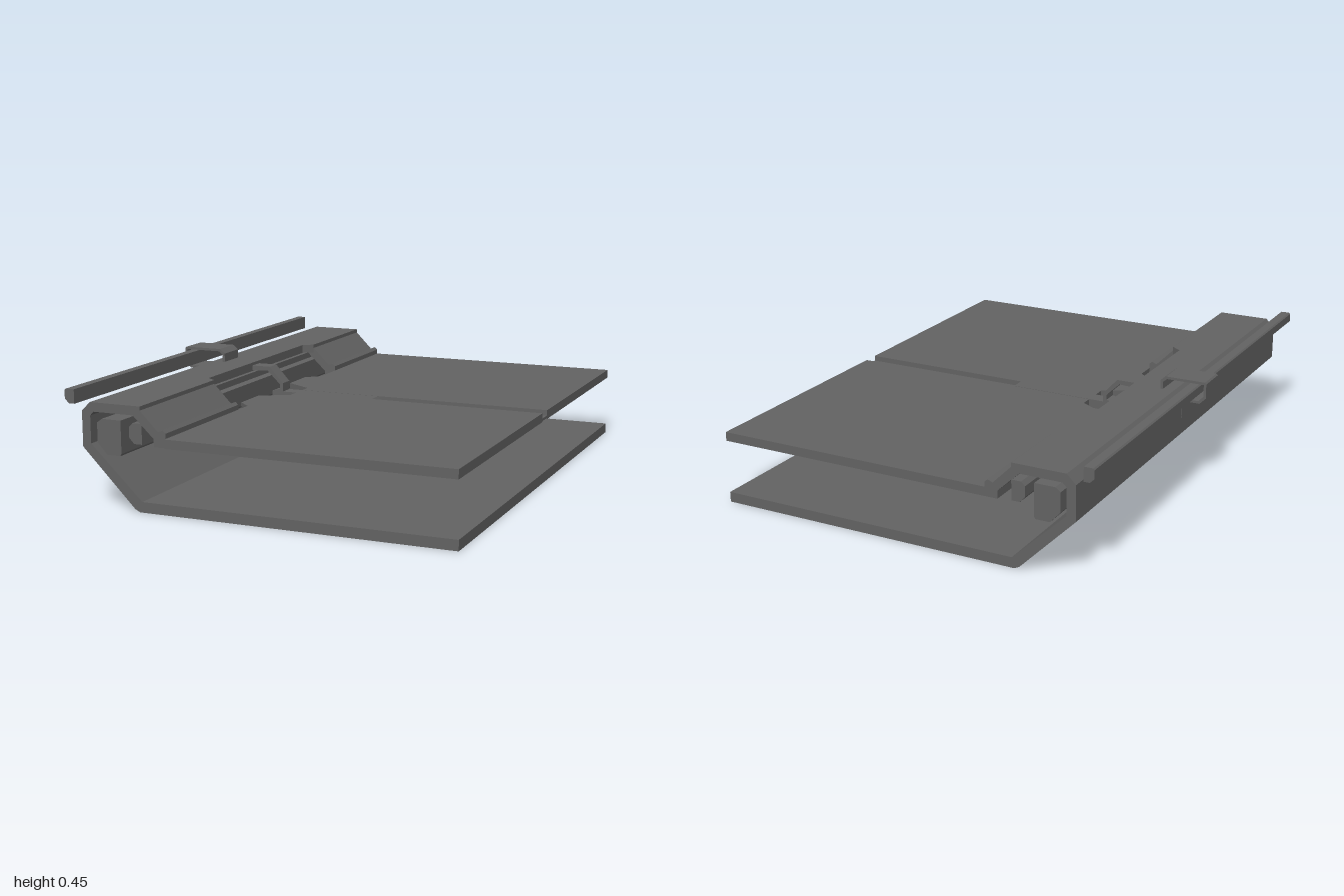
import * as THREE from 'three';

const material = new THREE.MeshStandardMaterial({ color: 0x626262, flatShading: true });

const toShape = (points) => new THREE.Shape(points.map(([a, b]) => new THREE.Vector2(a, b)));

// Extrude an xy cross-section from z0 to z1
function bar(name, points, z0, z1) {
  const geometry = new THREE.ExtrudeGeometry(toShape(points), { depth: z1 - z0, bevelEnabled: false });
  geometry.translate(0, 0, z0);
  const mesh = new THREE.Mesh(geometry, material);
  mesh.name = name;
  return mesh;
}

// Extrude an xz outline from y0 to y1
function plate(name, points, y0, y1) {
  const shape = toShape(points.map(([x, z]) => [x, -z]));
  const geometry = new THREE.ExtrudeGeometry(shape, { depth: y1 - y0, bevelEnabled: false });
  geometry.rotateX(-Math.PI / 2).translate(0, y0, 0);
  const mesh = new THREE.Mesh(geometry, material);
  mesh.name = name;
  return mesh;
}

// Half of the upper panel, shaped around the latch; side is +1 or -1 along z
function panelHalf(name, side, gap, end) {
  const outline = [[0.78, gap], [0.78, end], [-0.335, end], [-0.335, 0.35], [-0.39, 0.3],
    [-0.39, 0.15], [-0.275, 0.08], [-0.275, gap]];
  return plate(name, outline.map(([x, z]) => [x, side * z]), 0.25, 0.285);
}

export function createModel() {
  const model = new THREE.Group();
  model.name = 'foldedCase';

  // Shell: flat base, angled spine and rolled top; the middle stops short for the opening
  const outer = [[0.78, 0.04], [-0.44, 0.04], [-0.65, 0.24], [-0.65, 0.345], [-0.635, 0.36]];
  const inner = [[-0.65, 0.395], [-0.685, 0.36], [-0.685, 0.225], [-0.47, 0.01], [-0.45, 0], [0.78, 0]];
  const lip = [[-0.47, 0.36], [-0.385, 0.28], [-0.385, 0.25], [-0.335, 0.25], [-0.335, 0.304],
    [-0.347, 0.315], [-0.367, 0.307], [-0.44, 0.38], [-0.44, 0.395]];
  const full = [...outer, ...lip, ...inner];
  const open = [...outer, [-0.48, 0.36], [-0.48, 0.395], ...inner];
  const shell = new THREE.Group();
  shell.name = 'shell';
  shell.add(
    bar('shellBack', full, -0.99, -0.5),
    bar('shellMiddle', open, -0.5, 0.43),
    bar('shellFront', full, 0.43, 0.99),
    plate('openingCornerBack', [[-0.48, -0.5], [-0.44, -0.5], [-0.48, -0.47]], 0.36, 0.395),
    plate('openingCornerFront', [[-0.48, 0.43], [-0.44, 0.43], [-0.48, 0.4]], 0.36, 0.395)
  );
  model.add(shell);

  // Upper panel in two halves, joined by a tongue that steps down into a channel
  model.add(panelHalf('upperPanelFront', 1, 0.03, 1));
  model.add(panelHalf('upperPanelBack', -1, 0.033, 0.99));
  model.add(bar('panelTongue', [[-0.335, 0.25], [0.065, 0.25], [0.08, 0.254], [0.78, 0.254],
    [0.78, 0.264], [0.085, 0.264], [0.065, 0.285], [-0.335, 0.285]], -0.03, 0.03));

  // Latch strap bridging the opening
  model.add(bar('latchStrap', [[-0.475, 0.365], [-0.475, 0.385], [-0.395, 0.385], [-0.335, 0.32],
    [-0.335, 0.25], [-0.385, 0.25], [-0.385, 0.285], [-0.35, 0.295], [-0.35, 0.315],
    [-0.405, 0.368]], -0.03, 0.03));

  // Bars inside the spine
  model.add(bar('largeInnerBar', [[-0.625, 0.245], [-0.585, 0.202], [-0.53, 0.202], [-0.525, 0.21],
    [-0.525, 0.335], [-0.605, 0.335], [-0.625, 0.32]], -0.985, 0.985));
  model.add(bar('smallInnerBar', [[-0.49, 0.275], [-0.47, 0.253], [-0.437, 0.253], [-0.437, 0.33],
    [-0.475, 0.33], [-0.49, 0.315]], -0.985, 0.985));

  // Slim rod behind the spine and the thin loop that holds it
  model.add(bar('rod', [[-0.757, 0.4], [-0.74, 0.383], [-0.717, 0.383], [-0.717, 0.437],
    [-0.752, 0.437], [-0.757, 0.432]], -1, 0.99));
  model.add(bar('rodHolder', [[-0.605, 0.39], [-0.605, 0.424], [-0.622, 0.438], [-0.772, 0.438],
    [-0.772, 0.39], [-0.752, 0.37], [-0.698, 0.37], [-0.677, 0.35], [-0.677, 0.29], [-0.687, 0.29],
    [-0.687, 0.345], [-0.702, 0.36], [-0.757, 0.36], [-0.782, 0.385], [-0.782, 0.442],
    [-0.776, 0.448], [-0.617, 0.448], [-0.595, 0.43], [-0.595, 0.39]], -0.07, 0.05));
  return model;
}
